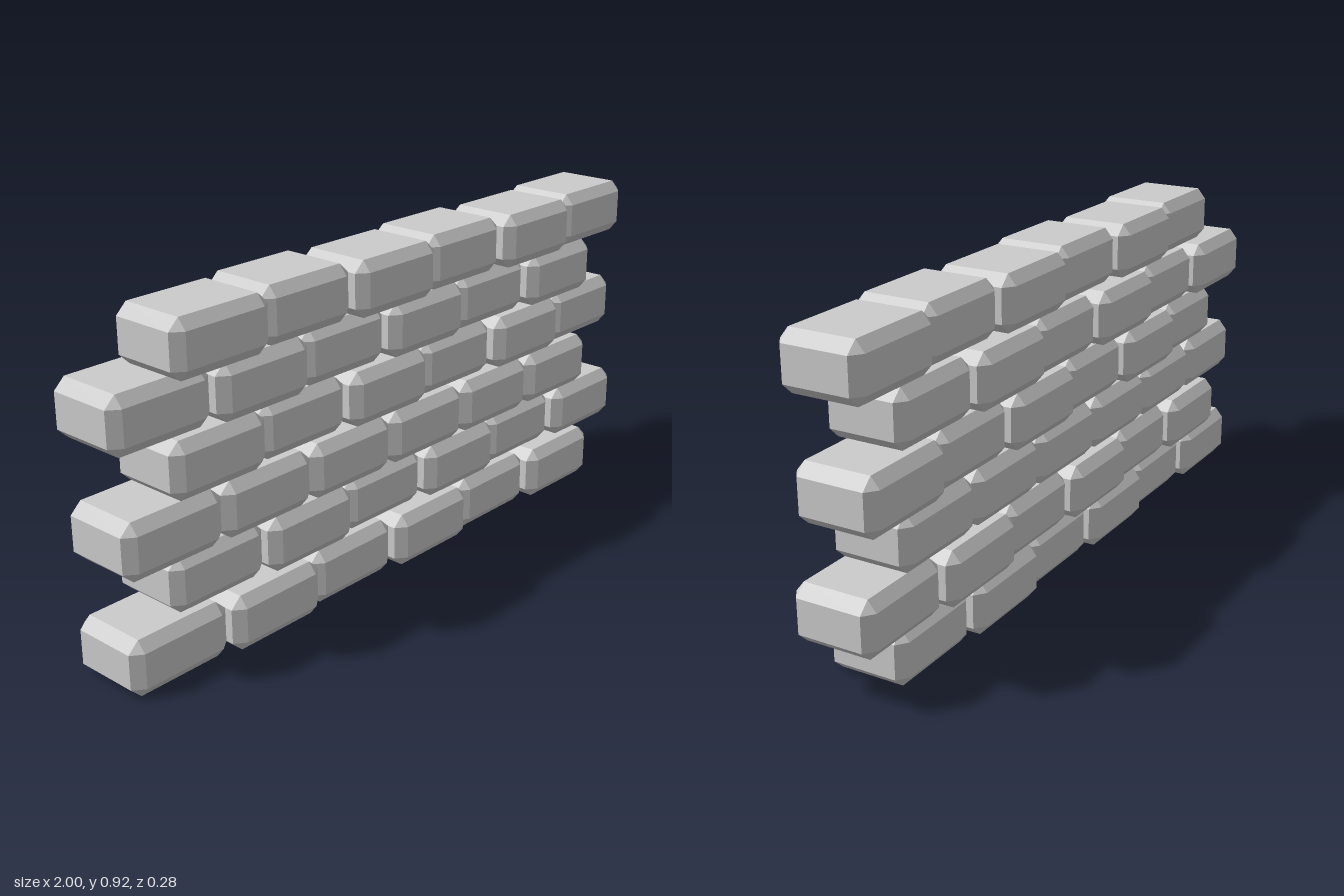
import * as THREE from 'three';
import { ConvexGeometry } from 'three/addons/geometries/ConvexGeometry.js';

// Brick pitch, size and chamfer
const PITCH = 2 / 6.5;
const HALF = [PITCH / 2, PITCH / 4, 0.115];
const BEVEL = [0.031, 0.0295, 0.024];
const SHIFT = 0.024;

// Box with all twelve edges chamfered: three points around each corner
function brickGeometry() {
  const points = [];
  for (const sx of [-1, 1]) for (const sy of [-1, 1]) for (const sz of [-1, 1]) {
    const s = [sx, sy, sz];
    for (let axis = 0; axis < 3; axis++) {
      const p = s.map((v, i) => v * (i === axis ? HALF[i] : HALF[i] - BEVEL[i]));
      points.push(new THREE.Vector3(...p));
    }
  }
  return new ConvexGeometry(points);
}

// Courses from the bottom up: depth shift of the even and odd bricks
const COURSES = [
  [0, SHIFT],
  [-SHIFT, 0],
  [0, 0],
  [0, -SHIFT],
  [-SHIFT, 0],
  [SHIFT, 0],
];

export function createModel() {
  const wall = new THREE.Group();
  wall.name = 'brickWall';
  const material = new THREE.MeshStandardMaterial({ color: 0xcccccc, flatShading: true });
  const geometry = brickGeometry();

  COURSES.forEach((shifts, row) => {
    const course = new THREE.Group();
    course.name = `course${row + 1}`;
    course.position.y = HALF[1] * (2 * row + 1);
    // Running bond: every other course starts half a brick later
    const start = -1 + HALF[0] + (row % 2) * HALF[0];
    for (let i = 0; i < 6; i++) {
      const brick = new THREE.Mesh(geometry, material);
      brick.name = `brick${i + 1}`;
      brick.position.set(start + i * PITCH, 0, shifts[i % 2]);
      course.add(brick);
    }
    wall.add(course);
  });
  return wall;
}
